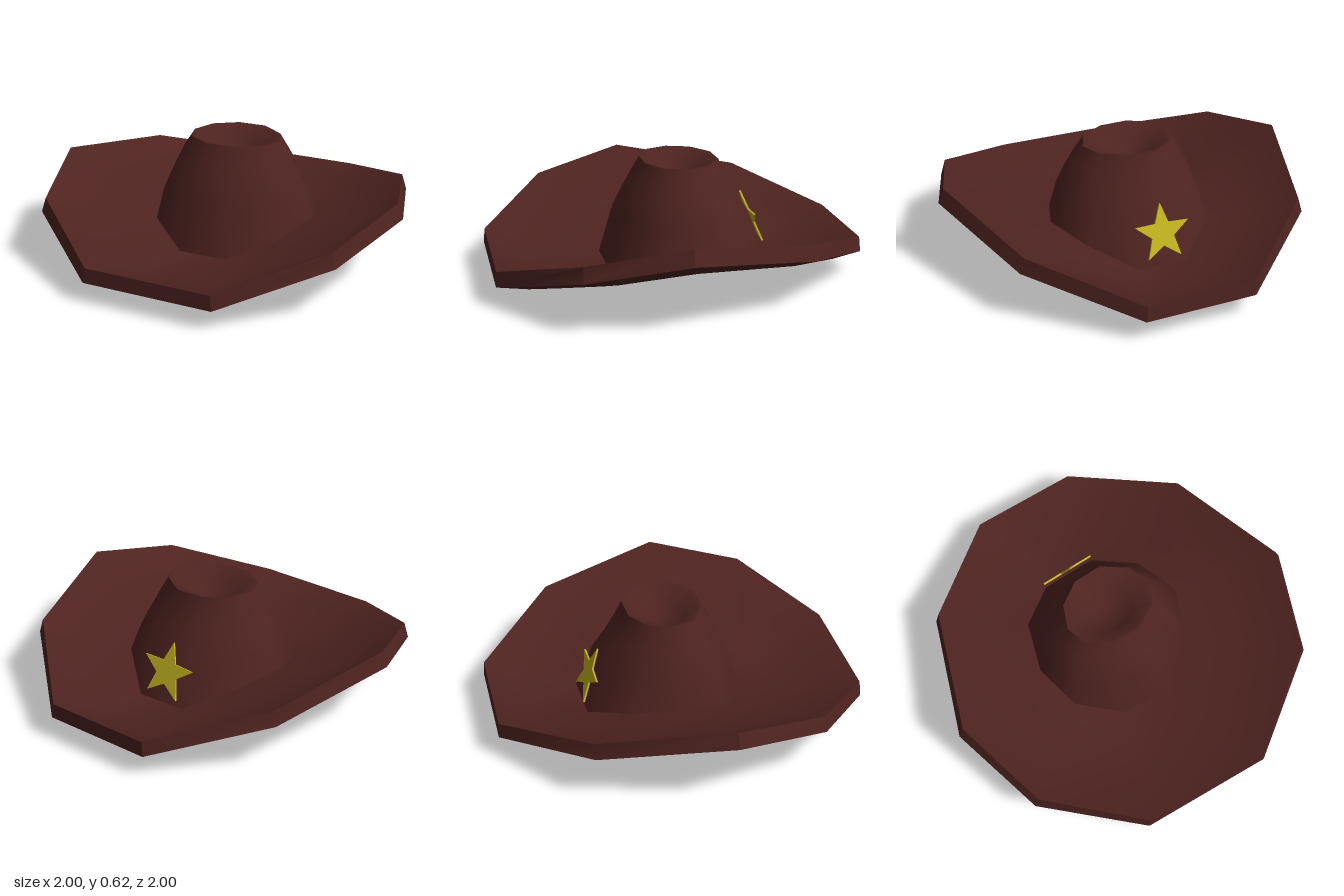
import * as THREE from 'three';
import { toCreasedNormals } from 'three/addons/utils/BufferGeometryUtils.js';

// Ten-sided outlines, from the front round by the left: [x, z, height of the underside]
const RIM = [
  [0.32, 1.0, 0.115], [0.82, 0.65, 0.28], [1.0, 0.15, 0.38], [0.82, -0.53, 0.28], [0.35, -0.98, 0.13],
  [-0.25, -1.0, 0.13], [-0.76, -0.6, 0.28], [-1.0, 0.06, 0.38], [-0.86, 0.57, 0.28], [-0.4, 0.96, 0.115],
];
const BASE = [
  [0.12, 0.37, 0.01], [0.35, 0.22, 0.1], [0.45, -0.04, 0.15], [0.37, -0.3, 0.13], [0.15, -0.5, 0.02],
  [-0.12, -0.5, 0.02], [-0.34, -0.33, 0.13], [-0.43, -0.06, 0.15], [-0.37, 0.19, 0.1], [-0.15, 0.36, 0.01],
];
const THICKNESS = 0.08;
const MID_Z = -0.065;

// Skin between rings of [x, y, z] points
function loft(rows, crease) {
  const n = rows[0].length;
  const index = [];
  for (let r = 0; r < rows.length - 1; r++) {
    for (let i = 0; i < n; i++) {
      const a = r * n + i, b = r * n + (i + 1) % n;
      index.push(a, a + n, b, b, a + n, b + n);
    }
  }
  const geometry = new THREE.BufferGeometry();
  geometry.setAttribute('position', new THREE.Float32BufferAttribute(rows.flat(2), 3));
  geometry.setIndex(index);
  return toCreasedNormals(geometry, crease);
}

// Ring part-way from the crown base to the rim, sagging in the middle
function brimRing(t, lift, scale = 1) {
  const sag = 0.1 * t * (1 - t);
  return BASE.map(([x, z, y], i) => {
    const [rx, rz, ry] = RIM[i];
    return [
      THREE.MathUtils.lerp(x, rx, t) * scale,
      Math.max(0, THREE.MathUtils.lerp(y, ry, t) - sag) + lift,
      THREE.MathUtils.lerp(z, rz, t) * scale,
    ];
  });
}

// Base outline scaled about its centre
function crownRing([y, sx, sz, cz]) {
  return BASE.map(([x, z]) => [x * sx, y, cz + (z - MID_Z) * sz]);
}

export function createModel() {
  const hat = new THREE.Group();
  hat.name = 'hat';
  const felt = new THREE.MeshStandardMaterial({ color: 0x4e2320, side: THREE.DoubleSide });
  const yellow = new THREE.MeshStandardMaterial({ color: 0xc4b41f });

  function add(name, geometry, material) {
    const mesh = new THREE.Mesh(geometry, material);
    mesh.name = name;
    hat.add(mesh);
    return mesh;
  }

  // Brim: upper face, edge, underside and the short wall of the opening
  const steps = [0, 0.2, 0.45, 0.72, 1];
  const upper = steps.map((t) => brimRing(t, THICKNESS, t === 1 ? 0.97 : 1));
  for (const p of upper[4]) p[2] /= 0.975;
  const lower = steps.map((t) => brimRing(t, 0)).reverse();
  add('brim', loft([...upper, ...lower, upper[0]], 0.6), felt);

  // Crown: hollow shell from the dented top down to the brim
  const crownRows = [
    [0.53, 0, 0, -0.05],
    [0.54, 0.16, 0.14, -0.05],
    [0.575, 0.32, 0.27, -0.05],
    [0.63, 0.5, 0.41, -0.05],
    [0.635, 0.57, 0.46, -0.05],
    [0.55, 0.7, 0.55, -0.045],
    [0.45, 0.82, 0.67, -0.045],
    [0.35, 0.92, 0.8, -0.055],
  ].map(crownRing);
  add('crown', loft([...crownRows, upper[0]], 0.8), felt);

  // Star badge leaning on the back of the crown
  const star = new THREE.Shape();
  for (let i = 0; i < 10; i++) {
    const radius = i % 2 ? 0.066 : 0.16;
    const angle = Math.PI / 2 + i * Math.PI / 5;
    star[i ? 'lineTo' : 'moveTo'](radius * Math.cos(angle), radius * Math.sin(angle));
  }
  const badge = add('starBadge', new THREE.ExtrudeGeometry(star, { depth: 0.01, bevelEnabled: false }), yellow);
  badge.position.set(0, 0.27, -0.467);
  badge.rotation.set(0.36, 0, 0.05);

  return hat;
}
